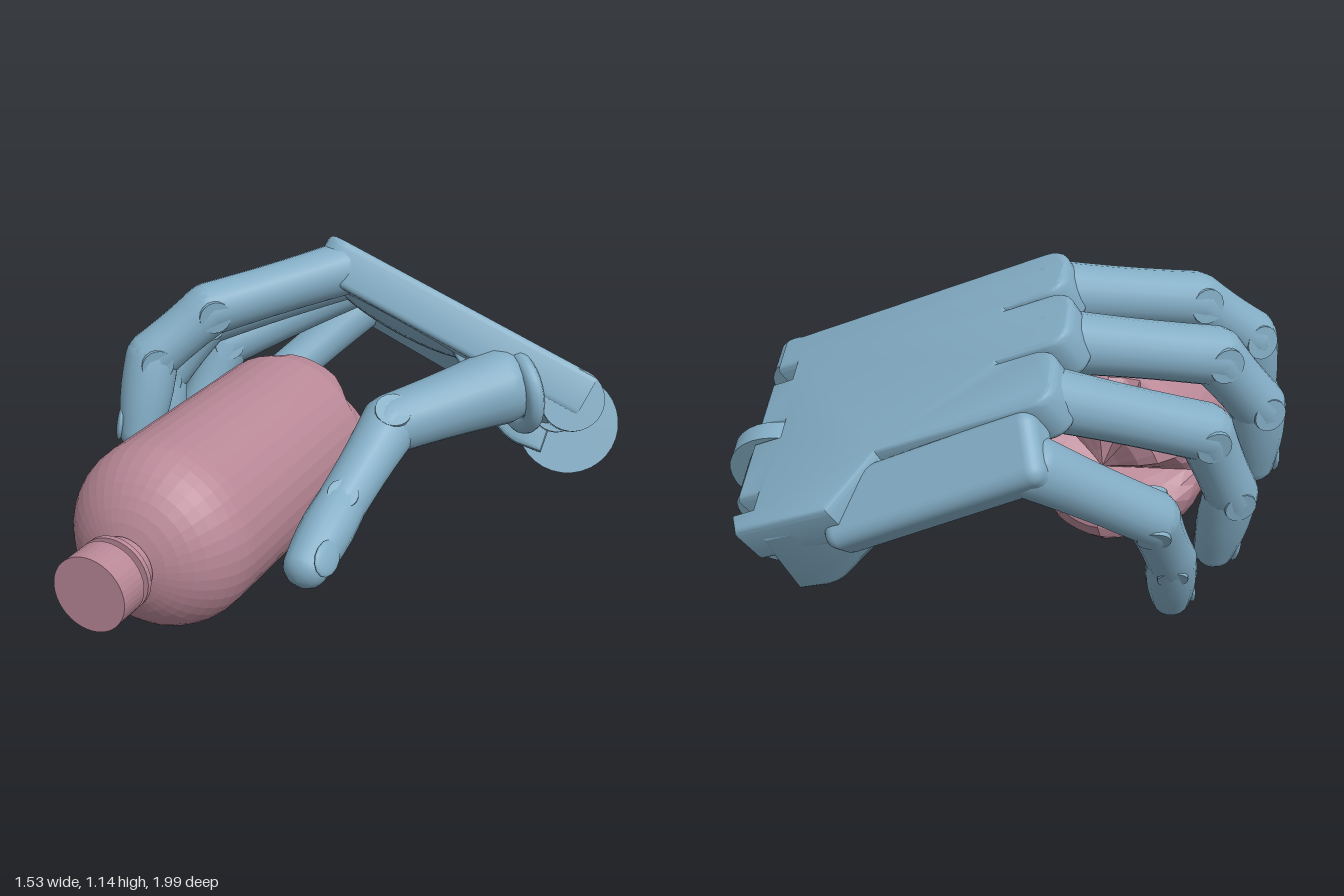
import * as THREE from 'three';
import { toCreasedNormals } from 'three/addons/utils/BufferGeometryUtils.js';
import { RoundedBoxGeometry } from 'three/addons/geometries/RoundedBoxGeometry.js';

const V = (x, y, z) => new THREE.Vector3(x, y, z);
const blue = new THREE.MeshStandardMaterial({ color: 0x83adc5 });
const pink = new THREE.MeshStandardMaterial({ color: 0xb98897, side: THREE.DoubleSide, flatShading: true });

function add(parent, name, geo, mat = blue) {
  const m = new THREE.Mesh(geo, mat);
  m.name = name;
  parent.add(m);
  return m;
}

// Palm frame: x to the wrist, y out of the back of the hand, z to the thumb side
const ex = V(0.916, -0.393, -0.08).normalize();
const ey = V(0.31, 0.82, -0.476);
const ez = ex.clone().cross(ey).normalize();
ey.copy(ez).cross(ex);
const palmMatrix = new THREE.Matrix4().makeBasis(ex, ey, ez).setPosition(-0.17, 1.14, -0.29);
const fromPalm = (x, y, z) => V(x, y, z).applyMatrix4(palmMatrix);

// Finger bone: a tapered, round-ended solid from a to b
function bone(parent, name, a, b, r0, r1, bulge) {
  const len = a.distanceTo(b), pts = [];
  for (let i = 0; i <= 5; i++) {
    const t = (i / 5 - 1) * Math.PI / 2;
    pts.push(new THREE.Vector2(Math.max(0, r0 * Math.cos(t)), r0 * Math.sin(t) * 0.85));
  }
  for (let i = 1; i < 5; i++) {
    const t = i / 5;
    pts.push(new THREE.Vector2(r0 + (r1 - r0) * t + bulge * Math.sin(Math.PI * t), len * t));
  }
  for (let i = 0; i <= 5; i++) {
    const t = i / 5 * Math.PI / 2;
    pts.push(new THREE.Vector2(Math.max(0, r1 * Math.cos(t)), len + r1 * Math.sin(t) * 0.85));
  }
  const m = add(parent, name, new THREE.LatheGeometry(pts, 18));
  m.position.copy(a);
  m.quaternion.setFromUnitVectors(V(0, 1, 0), b.clone().sub(a).normalize());
}

// Digit: three bones, two hinge pins and a nail on the outer side of the tip
function digit(name, j, r, nailSide) {
  const g = new THREE.Group();
  g.name = name;
  const axis = j[2].clone().sub(j[1]).cross(j[1].clone().sub(j[0])).normalize();
  const end = j[3].clone().lerp(j[2], r[3] * 0.85 / j[3].distanceTo(j[2]));
  const p = [j[0], j[1], j[2], end];
  ['proximalBone', 'middleBone', 'fingertip'].forEach((n, i) => {
    bone(g, n, p[i], p[i + 1], r[i], r[i + 1], i === 2 ? 0.008 : -0.004);
  });
  for (let i = 1; i < 3; i++) {
    const pin = add(g, 'hingePin', new THREE.CylinderGeometry(r[i] * 0.6, r[i] * 0.6, r[i] * 1.9, 18));
    pin.position.copy(p[i]);
    pin.quaternion.setFromUnitVectors(V(0, 1, 0), axis);
  }
  const along = end.clone().sub(j[2]).normalize();
  const out = nailSide ? nailSide.clone() : j[2].clone().multiplyScalar(2).sub(j[1]).sub(end);
  out.addScaledVector(along, -out.dot(along)).normalize();
  const nail = add(g, 'nail', new THREE.SphereGeometry(1, 14, 10));
  nail.scale.set(r[3] * 0.7, 0.014, 0.06);
  nail.quaternion.setFromRotationMatrix(new THREE.Matrix4().makeBasis(out.clone().cross(along), out, along));
  nail.position.copy(end).addScaledVector(along, -0.03).addScaledVector(out, r[3]);
  return g;
}

function buildPalm() {
  const g = new THREE.Group();
  g.name = 'palm';
  palmMatrix.decompose(g.position, g.quaternion, g.scale);

  // Back plate with three knuckle prongs and wrist notches
  const s = new THREE.Shape();
  [[0.95, 0.01], [0.95, 0.1], [0.88, 0.1], [0.88, 0.19], [0.95, 0.19], [0.95, 0.33], [0.86, 0.33], [0.86, 0.42],
    [0.95, 0.42], [0.95, 0.59], [0.88, 0.59], [0.88, 0.67], [0.95, 0.67], [0.93, 0.71], [0.64, 0.72],
    [0.52, 0.56]].forEach(([x, y], i) => (i ? s.lineTo(x, y) : s.moveTo(x, y)));
  [[0, 0.39, 0.56], [-0.03, 0.19, 0.36], [0, 0.01, 0.16]].forEach(([x, b0, b1]) => {
    s.lineTo(0.18, b1);
    s.lineTo(x + 0.06, b1);
    s.quadraticCurveTo(x, b1, x, b1 - 0.06);
    s.lineTo(x, b0 + 0.06);
    s.quadraticCurveTo(x, b0, x + 0.06, b0);
    if (b0 > 0.1) s.lineTo(0.18, b0);
  });
  const plate = new THREE.ExtrudeGeometry(s, {
    depth: 0.1, bevelThickness: 0.02, bevelSize: 0.015, bevelSegments: 3, curveSegments: 6,
  });
  plate.rotateX(-Math.PI / 2).translate(0, -0.12, 0);
  add(g, 'backPlate', toCreasedNormals(plate, 0.6));

  // Heel of the palm, deeper towards the wrist
  const h = new THREE.Shape();
  h.moveTo(0.42, -0.08);
  h.lineTo(0.76, -0.27);
  h.quadraticCurveTo(0.8, -0.29, 0.84, -0.29);
  h.lineTo(0.91, -0.28);
  h.lineTo(0.87, -0.06);
  const heel = new THREE.ExtrudeGeometry(h, { depth: 0.5, bevelSize: 0.015, bevelThickness: 0.02, bevelSegments: 2 });
  heel.translate(0, 0, -0.71);
  add(g, 'palmHeel', toCreasedNormals(heel, 0.6));

  // Tilted plate behind the little finger
  const little = add(g, 'littleFingerPlate', new RoundedBoxGeometry(0.66, 0.13, 0.2, 3, 0.04));
  little.position.set(0.37, -0.1, -0.65);
  little.rotation.set(-0.4, 0.06, 0);

  // Soft pads inside the hand
  [['fingerPad', 0.3, -0.12, -0.3, 0.26, 0.05, 0.26], ['thumbPad', 0.76, -0.13, -0.12, 0.2, 0.1, 0.13]]
    .forEach(([n, x, y, z, a, b, c]) => {
      const pad = add(g, n, new THREE.SphereGeometry(1, 24, 16));
      pad.position.set(x, y, z);
      pad.scale.set(a, b, c);
    });

  // Wrist hinge: rounded lugs, a central disc, barrels in the notches and an axle
  [['wristLug', 0.93, -0.1, -0.05, 0.1, 0.1], ['wristLug', 0.92, -0.1, -0.26, 0.1, 0.12],
    ['wristLug', 0.92, -0.1, -0.505, 0.1, 0.15], ['wristDisc', 0.96, -0.16, -0.375, 0.17, 0.06],
    ['wristBarrel', 0.9, -0.14, -0.145, 0.08, 0.1], ['wristBarrel', 0.9, -0.14, -0.63, 0.08, 0.1],
    ['wristAxle', 0.92, -0.14, -0.38, 0.06, 0.5]]
    .forEach(([n, x, y, z, r, l]) => {
      const c = add(g, n, new THREE.CylinderGeometry(r, r, l, 32));
      c.rotation.x = Math.PI / 2;
      c.position.set(x, y, z);
    });
  return g;
}

function buildBottle() {
  const g = new THREE.Group();
  g.name = 'bottle';
  g.position.set(-0.28, 0.465, 0);

  // Body with a round shoulder; five grooves are pressed into the base
  const R = 0.285, pts = [[0, -0.25], [0.06, -0.265], [0.13, -0.288], [0.19, -0.29], [0.235, -0.262], [0.27, -0.21],
    [R, -0.14], [R, 0.2], [R, 0.6]].map(([x, y]) => new THREE.Vector2(x, y));
  for (let i = 1; i <= 9; i++) {
    const t = i / 9 * 1.25;
    pts.push(new THREE.Vector2(R * Math.cos(t), 0.6 + 0.242 * Math.sin(t)));
  }
  const body = new THREE.LatheGeometry(pts, 40);
  const p = body.attributes.position;
  for (let i = 0; i < p.count; i++) {
    const y = p.getY(i), r = Math.hypot(p.getX(i), p.getZ(i));
    if (y > -0.2 || r < 0.03) continue;
    const a = (Math.atan2(p.getX(i), p.getZ(i)) / (Math.PI * 2) * 5 + 5.75) % 1;
    const k = Math.max(0, 1 - Math.abs(a - 0.5) / 0.26);
    p.setY(i, y + (-0.25 + 0.3 * r - y) * k);
  }
  add(g, 'bottleBody', body.rotateX(Math.PI / 2), pink);

  // Neck, collar ring and cap
  [['neck', 0.085, 0.8, 0.91], ['collarRing', 0.112, 0.87, 0.885], ['cap', 0.112, 0.905, 1]].forEach(([n, r, z0, z1]) => {
    const c = add(g, n, new THREE.CylinderGeometry(r, r, z1 - z0, 40), pink);
    c.rotation.x = Math.PI / 2;
    c.position.z = (z0 + z1) / 2;
  });
  return g;
}

export function createModel() {
  const root = new THREE.Group();
  root.name = 'handHoldingBottle';
  const hand = new THREE.Group();
  hand.name = 'hand';
  hand.add(buildPalm());
  hand.add(digit('indexFinger', [fromPalm(0.07, -0.08, -0.07), V(-0.47, 0.93, 0), V(-0.61, 0.79, 0.13), V(-0.62, 0.5, 0.23)],
    [0.088, 0.086, 0.085, 0.066]));
  hand.add(digit('middleFinger', [fromPalm(0.05, -0.08, -0.27), V(-0.58, 0.83, -0.16), V(-0.69, 0.65, -0.05), V(-0.67, 0.38, 0.02)],
    [0.088, 0.086, 0.082, 0.064]));
  hand.add(digit('ringFinger', [fromPalm(0.06, -0.08, -0.47), V(-0.61, 0.68, -0.35), V(-0.67, 0.45, -0.24), V(-0.6, 0.165, -0.16)],
    [0.086, 0.083, 0.078, 0.06]));
  hand.add(digit('littleFinger', [fromPalm(0.1, -0.13, -0.65), V(-0.52, 0.48, -0.52), V(-0.53, 0.26, -0.35), V(-0.49, 0, -0.19)],
    [0.084, 0.078, 0.075, 0.06]));
  hand.add(digit('thumb', [V(0.41, 0.7, -0.31), V(0.15, 0.63, -0.03), V(0.11, 0.47, 0.25), V(0.1, 0.345, 0.53)],
    [0.125, 0.095, 0.078, 0.068], V(0.85, 0.3, 0.3)));

  // Socket collar at the root of the thumb
  const collar = add(hand, 'thumbSocket', new THREE.TorusGeometry(0.115, 0.03, 10, 28));
  collar.position.set(0.46, 0.68, -0.35);
  collar.quaternion.setFromUnitVectors(V(0, 0, 1), V(-0.68, -0.1, 0.73).normalize());
  root.add(hand, buildBottle());
  return root;
}
